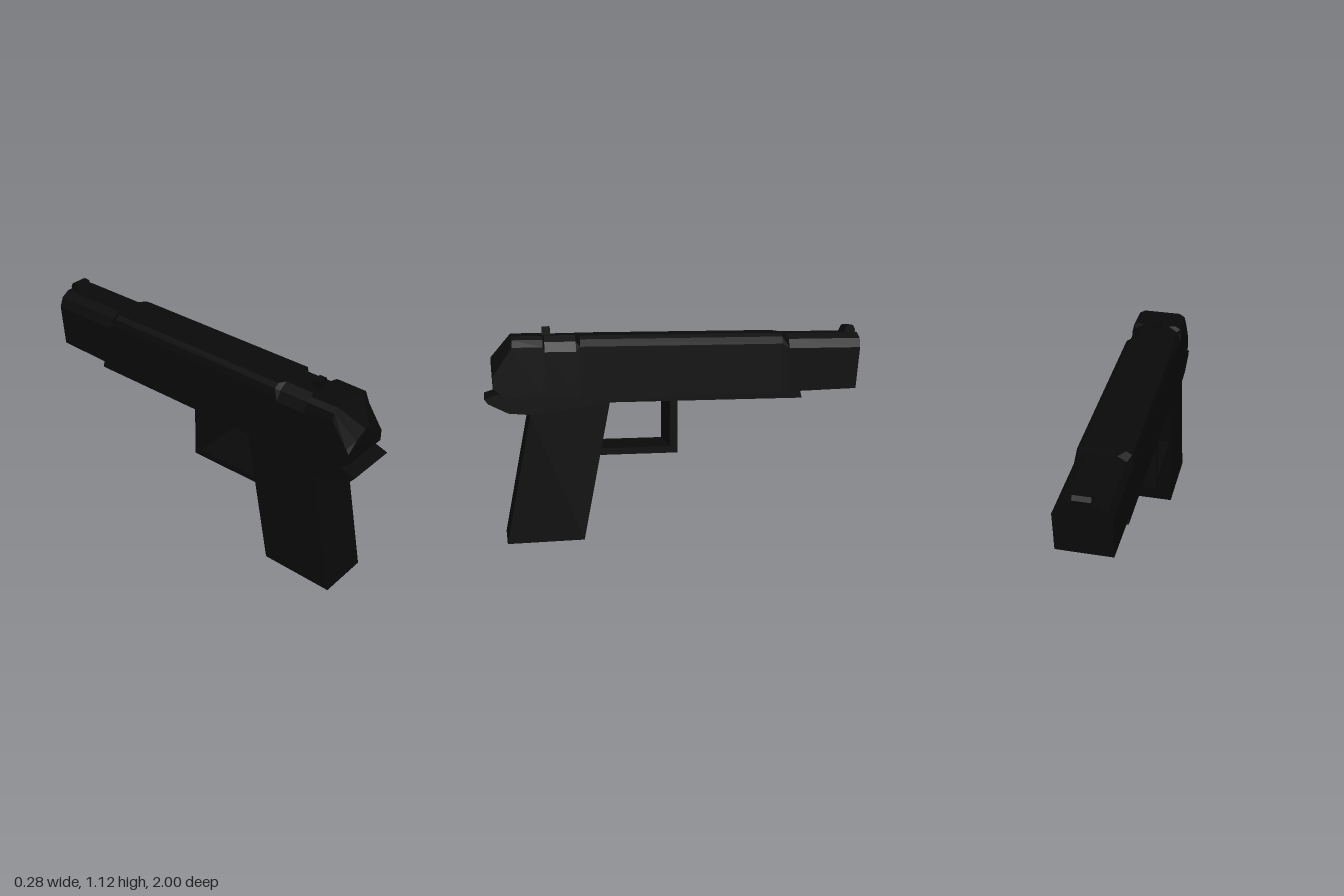
import * as THREE from 'three';

const material = new THREE.MeshStandardMaterial({ color: 0x0a0a0a, flatShading: true });
const HALF = 0.14;

function add(group, name, geometry) {
  const mesh = new THREE.Mesh(geometry, material);
  mesh.name = name;
  group.add(mesh);
}

// Extrudes a side profile of [z, y] points across the width
function sideExtrude(outline, halfWidth, holes = []) {
  const toPoints = (list) => list.map(([z, y]) => new THREE.Vector2(-z, y));
  const shape = new THREE.Shape(toPoints(outline));
  holes.forEach((h) => shape.holes.push(new THREE.Path(toPoints(h))));
  return new THREE.ExtrudeGeometry(shape, { depth: halfWidth * 2, bevelEnabled: false })
    .translate(0, 0, -halfWidth)
    .rotateY(Math.PI / 2);
}

// Joins mirrored cross-sections; each holds right-hand [x, y, z] points, bottom to top
function loft(sections) {
  const rings = sections.map((s) => [...s, ...s.map(([x, y, z]) => [-x, y, z]).reverse()]);
  const n = rings[0].length;
  const index = [];
  for (let i = 0; i < rings.length - 1; i++) {
    for (let j = 0; j < n; j++) {
      const a = i * n + j, b = i * n + ((j + 1) % n);
      index.push(a, b, b + n, a, b + n, a + n);
    }
  }
  const last = (rings.length - 1) * n;
  for (let j = 1; j < n - 1; j++) {
    index.push(0, j + 1, j, last, last + j, last + j + 1);
  }
  const geometry = new THREE.BufferGeometry();
  geometry.setAttribute('position', new THREE.Float32BufferAttribute(rings.flat(2), 3));
  geometry.setIndex(index);
  const flat = geometry.toNonIndexed();
  flat.computeVertexNormals();
  return flat;
}

// Slide cross-section with sloping shoulders
const section = (z, bottom, shoulder, topHalf, top, zBottom = z) => [
  [HALF, bottom, zBottom],
  [HALF, shoulder, z + (zBottom - z) * 0.2],
  [(HALF + topHalf) / 2 + 0.01, (shoulder + top) / 2 + 0.01, z],
  [topHalf, top, z],
];

export function createModel() {
  const group = new THREE.Group();
  group.name = 'pistol';

  // Slide: slim nose, broader middle, waist before the rear sight, faceted tail
  add(group, 'slide', loft([
    section(-0.995, 0.78, 1.0, 0.07, 1.075, -0.97),
    section(-0.6, 0.77, 1.0, 0.07, 1.075),
    section(-0.56, 0.77, 1.025, 0.105, 1.08),
    section(0.51, 0.77, 1.025, 0.105, 1.08),
    section(0.53, 0.77, 1.0, 0.07, 1.08),
    section(0.69, 0.77, 1.0, 0.07, 1.08),
    section(0.7, 0.77, 1.025, 0.105, 1.08),
    section(0.855, 0.77, 1.025, 0.1, 1.08),
    [[HALF, 0.78, 0.91], [HALF, 0.9, 0.94], [0.08, 0.93, 0.955], [0.015, 0.965, 0.96]],
    [[HALF, 0.82, 0.955], [HALF, 0.88, 0.955], [0.08, 0.91, 0.96], [0.015, 0.94, 0.96]],
  ]));

  // Frame with rear tang and raked grip
  add(group, 'frameAndGrip', sideExtrude([
    [-0.66, 0.775], [-0.67, 0.735], [0.36, 0.735], [0.5, 0.01], [0.9, 0.005],
    [0.77, 0.68], [0.88, 0.69], [0.98, 0.74], [1, 0.765], [0.925, 0.79], [0.9, 0.8], [-0.6, 0.8],
  ], HALF));

  // Square trigger guard
  add(group, 'triggerGuard', sideExtrude([
    [0.005, 0.74], [0.005, 0.46], [0.43, 0.46], [0.42, 0.495], [0.045, 0.495], [0.045, 0.74],
  ], HALF));

  // Sights
  add(group, 'rearSight', sideExtrude([
    [0.655, 1.07], [0.695, 1.07], [0.695, 1.12], [0.655, 1.12],
  ], 0.03));
  add(group, 'frontSight', sideExtrude([
    [-0.99, 1.07], [-0.925, 1.07], [-0.945, 1.11], [-0.98, 1.112], [-0.993, 1.09],
  ], 0.045));

  return group;
}
